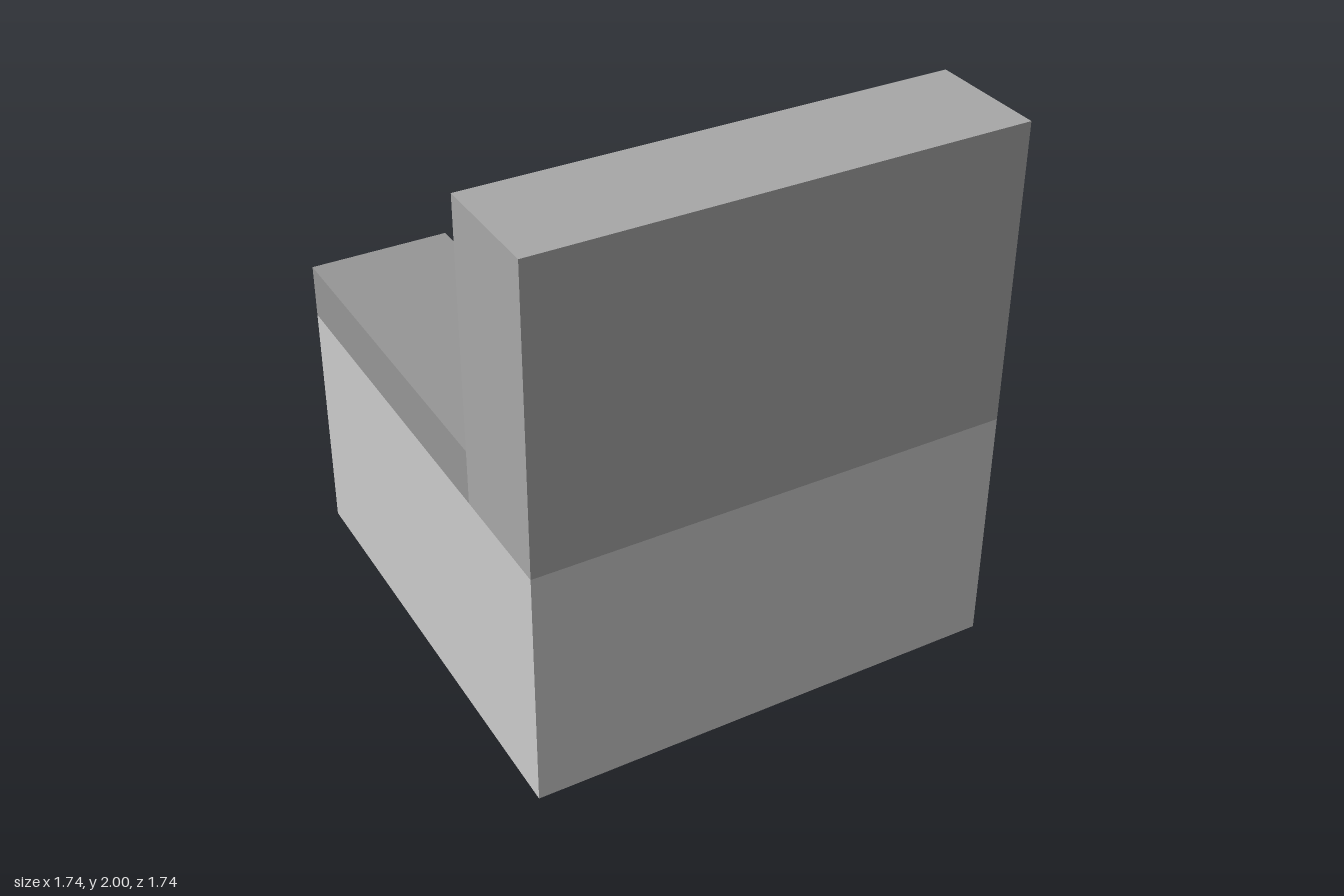
import * as THREE from 'three';

const HALF = 0.87;      // half width and half depth
const SEAT_TOP = 0.9;
const ARM_TOP = 1.1;
const BACK_Z = 0.435;   // inner face of the backrest
const ARM_X = 0.35;     // inner face of each armrest

// Box given by its minimum and maximum corners
function block(name, min, max, color) {
  const size = max.map((v, i) => v - min[i]);
  const mesh = new THREE.Mesh(
    new THREE.BoxGeometry(...size),
    new THREE.MeshStandardMaterial({ color, flatShading: true })
  );
  mesh.position.set(...max.map((v, i) => (v + min[i]) / 2));
  mesh.name = name;
  return mesh;
}

export function createModel() {
  const chair = new THREE.Group();
  chair.name = 'armchair';

  // Solid seat block
  chair.add(block('seat', [-HALF, 0, -HALF], [HALF, SEAT_TOP, HALF], 0xcccccc));

  // Upright backrest across the full width
  chair.add(block('backrest', [-HALF, SEAT_TOP, BACK_Z], [HALF, 2, HALF], 0xa8a8a8));

  // Low armrests on both sides, running up to the backrest
  for (const [name, x0, x1] of [['rightArmrest', -HALF, -ARM_X], ['leftArmrest', ARM_X, HALF]]) {
    chair.add(block(name, [x0, SEAT_TOP, -HALF], [x1, ARM_TOP, BACK_Z], 0x969696));
  }

  return chair;
}
